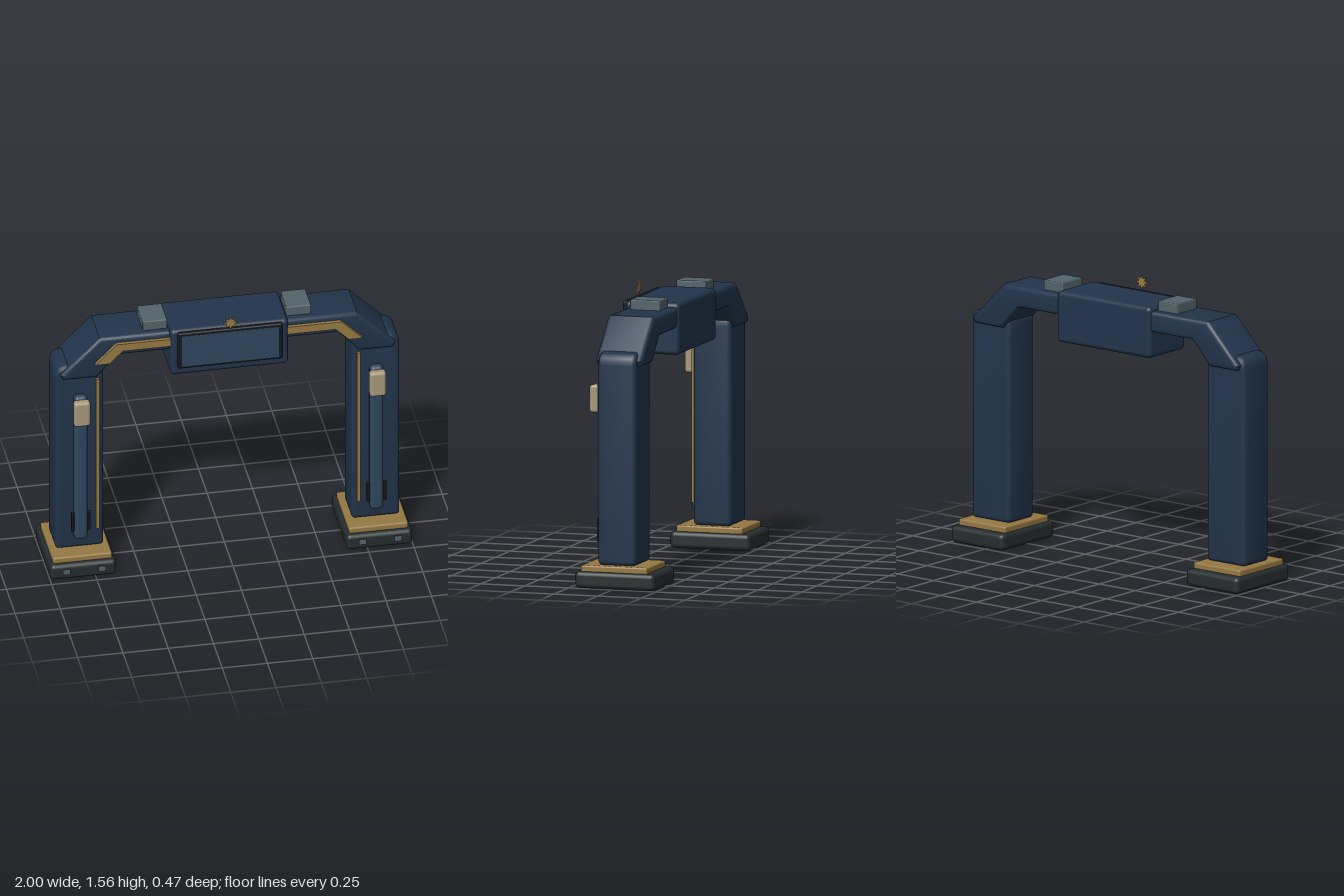
import * as THREE from 'three';
import { RoundedBoxGeometry } from 'three/addons/geometries/RoundedBoxGeometry.js';
import { toCreasedNormals } from 'three/addons/utils/BufferGeometryUtils.js';

const material = (color) => new THREE.MeshStandardMaterial({ color });
const navy = material(0x22344b);
const blue = material(0x2f465d);
const gold = material(0x967944);
const rubber = material(0x262d2f);
const black = material(0x14171b);
const grey = material(0x53636a);
const cream = material(0xa8987a);

function add(parent, name, geometry, mat) {
  const mesh = new THREE.Mesh(geometry, mat);
  mesh.name = name;
  parent.add(mesh);
  return mesh;
}

// Box given by centre and size, rounded when r > 0
function box(parent, name, mat, [x, y, z], [w, h, d], r = 0) {
  const geometry = r ? new RoundedBoxGeometry(w, h, d, 3, r) : new THREE.BoxGeometry(w, h, d);
  add(parent, name, geometry, mat).position.set(x, y, z);
}

// Shape in the xy plane extruded from z0 to z1, with the bevel kept inside the outline
function slab(parent, name, mat, shape, z0, z1, bevel = 0) {
  const geometry = new THREE.ExtrudeGeometry(shape, {
    depth: z1 - z0 - 2 * bevel, bevelEnabled: bevel > 0, bevelThickness: bevel,
    bevelSize: bevel, bevelOffset: -bevel, bevelSegments: 3, curveSegments: 6,
  });
  geometry.translate(0, 0, z0 + bevel);
  add(parent, name, toCreasedNormals(geometry, 0.6), mat);
}

const polygon = (points) => new THREE.Shape(points.map(([x, y]) => new THREE.Vector2(x, y)));

// Rounded rectangle with separate top and bottom radii
function columnShape(x0, x1, y0, y1, rb, rt) {
  const s = new THREE.Shape();
  s.moveTo(x0 + rb, y0).lineTo(x1 - rb, y0).quadraticCurveTo(x1, y0, x1, y0 + rb);
  s.lineTo(x1, y1 - rt).quadraticCurveTo(x1, y1, x1 - rt, y1);
  s.lineTo(x0 + rt, y1).quadraticCurveTo(x0, y1, x0, y1 - rt);
  s.lineTo(x0, y0 + rb).quadraticCurveTo(x0, y0, x0 + rb, y0);
  return s;
}

function createPillar(side) {
  const g = new THREE.Group();
  g.name = side > 0 ? 'leftPillar' : 'rightPillar';
  const cx = side * 0.817;

  // Foot and plinth
  box(g, 'foot', rubber, [cx, 0.046, -0.01], [0.365, 0.092, 0.455], 0.025);
  box(g, 'plinth', gold, [cx, 0.105, -0.002], [0.326, 0.04, 0.378], 0.01);
  for (const dx of [-0.098, 0.098]) {
    box(g, 'footMarker', grey, [cx + dx, 0.059, 0.232], [0.04, 0.034, 0.006]);
  }

  // Column with softened shoulders
  const x0 = cx - 0.133, x1 = cx + 0.133;
  slab(g, 'column', navy, columnShape(x0, x1, 0.125, 1.29, 0.025, 0.07), -0.115, 0.1, 0.022);
  box(g, 'columnTrim', gold, [side * 0.72, 0.722, 0.105], [0.02, 0.955, 0.022]);

  // Front rail with lamp and lower clips
  const rx = side * 0.816;
  box(g, 'rail', blue, [rx, 0.653, 0.115], [0.075, 0.916, 0.055], 0.024);
  box(g, 'lamp', cream, [rx, 1.02, 0.154], [0.09, 0.152, 0.05], 0.016);
  for (const dx of [-0.045, 0.045]) {
    box(g, 'railClip', black, [rx + dx, 0.308, 0.126], [0.018, 0.122, 0.01], 0.004);
  }
  return g;
}

function createStar(parent) {
  const points = [];
  for (let i = 0; i < 16; i++) {
    const a = Math.PI / 2 + (i * Math.PI) / 8;
    const r = i % 2 ? 0.022 : 0.042;
    points.push([r * Math.cos(a), 1.519 + r * Math.sin(a)]);
  }
  slab(parent, 'starOrnament', gold, polygon(points), 0.177, 0.183);
}

export function createModel() {
  const model = new THREE.Group();
  model.name = 'gateway';

  // Overhead beam with sloping ends
  const half = [[0.71, 1.46], [0.925, 1.245], [0.91, 1.215], [0.722, 1.215], [0.605, 1.345]];
  const mirrored = half.map(([x, y]) => [-x, y]).reverse();
  slab(model, 'beam', navy, polygon([...half, ...mirrored]), -0.143, 0.122, 0.022);

  for (const side of [1, -1]) {
    model.add(createPillar(side));
    const trim = [[0.31, 1.428], [0.62, 1.428], [0.738, 1.31], [0.66, 1.31], [0.587, 1.383], [0.31, 1.383]];
    slab(model, 'beamTrim', gold, polygon(trim.map(([x, y]) => [side * x, y])), 0.115, 0.143);
    box(model, 'roofUnit', grey, [side * 0.397, 1.477, -0.008], [0.135, 0.076, 0.17], 0.006);
  }

  // Central housing and display
  box(model, 'housing', navy, [0, 1.342, -0.001], [0.65, 0.285, 0.31], 0.024);
  box(model, 'displayFrame', black, [0, 1.366, 0.164], [0.575, 0.224, 0.028], 0.008);
  box(model, 'screen', blue, [0, 1.366, 0.178], [0.535, 0.194, 0.006]);
  createStar(model);

  return model;
}
